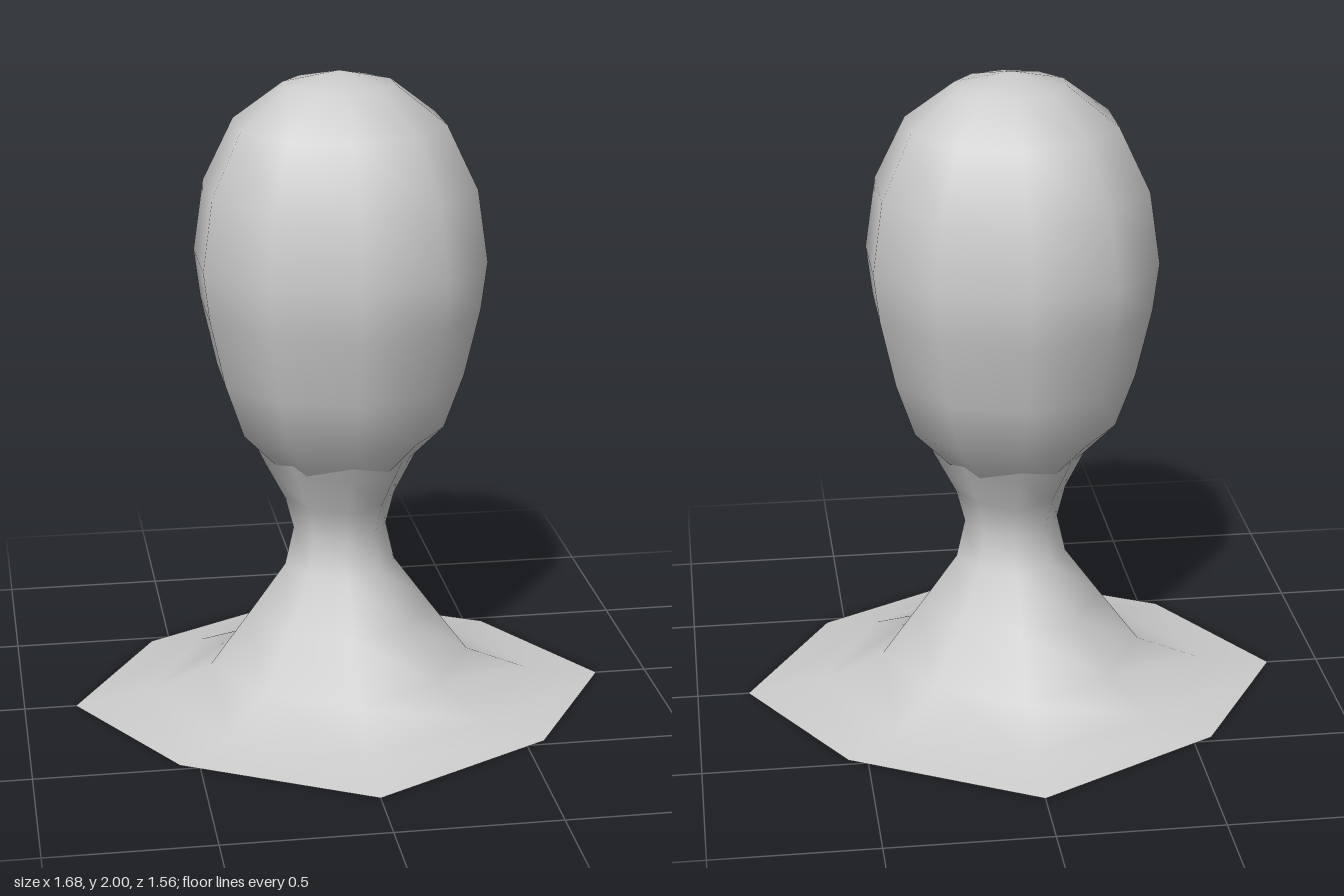
import * as THREE from 'three';
import { mergeVertices } from 'three/addons/utils/BufferGeometryUtils.js';

// Revolve a [radius, height] profile (bottom to top), with an optional rule to reshape each ring
function turned(name, profile, sides, reshape) {
  let geo = new THREE.LatheGeometry(profile.map(([r, y]) => new THREE.Vector2(r, y)), sides);
  if (reshape) {
    const p = geo.attributes.position;
    for (let i = 0; i < p.count; i++) reshape(p, i);
  }
  // Weld the seam so the shading is smooth all round
  geo.deleteAttribute('uv');
  geo.deleteAttribute('normal');
  geo = mergeVertices(geo, 1e-4);
  geo.computeVertexNormals();
  const mesh = new THREE.Mesh(geo, new THREE.MeshStandardMaterial({ color: 0xcccccc, side: THREE.DoubleSide }));
  mesh.name = name;
  return mesh;
}

export function createModel() {
  const model = new THREE.Group();
  model.name = 'headOnStand';

  // Ten-sided egg-shaped head, narrowing to the chin
  const head = turned('head', [
    [0, 0.7], [0.173, 0.745], [0.325, 0.9], [0.385, 1.07], [0.433, 1.28], [0.452, 1.43],
    [0.42, 1.65], [0.325, 1.845], [0.172, 1.96], [0, 2],
  ], 10);
  head.position.z = -0.005;
  model.add(head);

  // Eight-sided neck flaring into an open base, pulled in on the diagonals
  const neck = [
    [0.84, 0], [0.605, 0.035], [0.41, 0.115], [0.285, 0.285], [0.173, 0.44],
    [0.146, 0.56], [0.172, 0.66], [0.235, 0.78], [0.268, 0.85],
  ];
  model.add(turned('neckAndBase', neck, 8, (p, i) => {
    const x = p.getX(i), y = p.getY(i), z = p.getZ(i);
    const diagonal = Math.abs(x * z) > 1e-6;
    const kx = diagonal ? 0.94 : 1;
    const kz = diagonal ? (y < 0.01 ? 0.8 : 0.9) : (y < 0.01 ? 0.93 : 0.98);
    p.setXYZ(i, x * kx, y, z * kz);
  }));

  return model;
}
